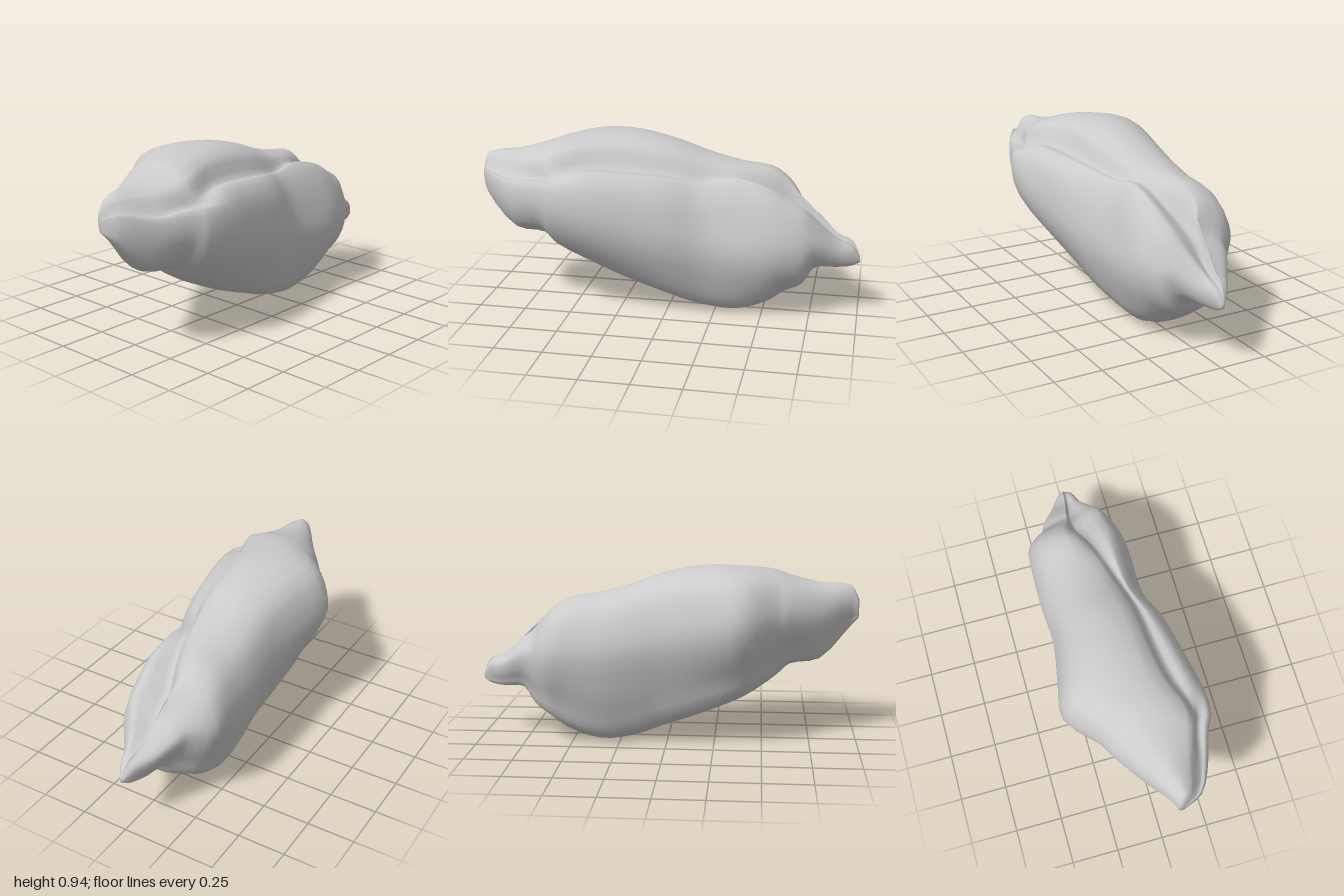
import * as THREE from 'three';

// Stations along the boulder: x, bottom y, top y, back z, front z, ledge y, groove z
const STATIONS = [
  [-1.0, 0.65, 0.75, 0.05, 0.09, 0.72, 0.075],
  [-0.96, 0.60, 0.82, 0.03, 0.18, 0.74, 0.13],
  [-0.8, 0.43, 0.84, -0.08, 0.27, 0.72, 0.18],
  [-0.64, 0.41, 0.88, -0.19, 0.325, 0.73, 0.23],
  [-0.57, 0.35, 0.905, -0.23, 0.36, 0.735, 0.25],
  [-0.4, 0.25, 0.93, -0.37, 0.362, 0.785, 0.2],
  [-0.2, 0.16, 0.935, -0.34, 0.335, 0.775, 0.17],
  [0.02, 0.08, 0.893, -0.31, 0.29, 0.755, 0.14],
  [0.18, 0.025, 0.835, -0.305, 0.245, 0.73, 0.11],
  [0.36, 0.008, 0.79, -0.31, 0.24, 0.755, 0.06],
  [0.52, 0.06, 0.765, -0.31, 0.235, 0.715, 0.01],
  [0.62, 0.13, 0.70, -0.295, 0.22, 0.66, -0.02],
  [0.71, 0.18, 0.63, -0.2, 0.19, 0.61, -0.025],
  [0.77, 0.27, 0.57, -0.17, 0.15, 0.55, -0.02],
  [0.88, 0.27, 0.46, -0.1, 0.07, 0.44, -0.01],
  [0.96, 0.28, 0.42, -0.05, 0.035, 0.39, -0.01],
  [1.0, 0.3, 0.335, -0.01, 0.01, 0.33, 0.0],
];
const AROUND = 42, STEPS = 3;
const { lerp, smoothstep } = THREE.MathUtils;

// One closed outline: underside, bulging front slab, ledge and groove, upper ridge, back
function ring([x, yb, yt, zb, zf, ledge, groove]) {
  const at = (u, h) => new THREE.Vector3(x, lerp(yb, yt, h), lerp(zb, zf, u));
  const w = zf - zb;
  const cut = 0.08 * smoothstep(x, 0.25, 0.65) * (1 - smoothstep(x, 0.75, 0.95));
  const blend = 0.5 * (1 - smoothstep(x, -0.64, -0.5)); // no ledge on the narrow end
  const drop = 0.1 * smoothstep(x, 0.6, 0.7); // rear shoulder falls away
  const outline = [
    at(0.38, 0), at(0.72, 0.02), at(0.9, 0.19), at(1, 0.46), at(0.96, 0.68),
    new THREE.Vector3(x, ledge, lerp(zb, zf, lerp(0.87, 0.79, smoothstep(x, -0.4, 0.4)))),
    new THREE.Vector3(x, lerp(ledge, yt, blend) - cut, groove),
    new THREE.Vector3(x, lerp(ledge, yt, 0.75) - cut * 0.3, groove - w * 0.08),
    at(0.38, 1 - drop), at(0.11, 0.9 - drop), at(0, 0.67), at(0.05, 0.41), at(0.16, 0.21), at(0.24, 0.06),
  ];
  const curve = new THREE.CatmullRomCurve3(outline, true, 'centripetal');
  return Array.from({ length: AROUND }, (_, j) => curve.getPoint(j / AROUND));
}

function boulderGeometry() {
  const rings = STATIONS.map(ring);
  const rows = (STATIONS.length - 1) * STEPS;
  const pos = [], index = [];
  const lines = rings[0].map((_, j) => new THREE.CatmullRomCurve3(rings.map(r => r[j]), false, 'centripetal'));
  for (let i = 0; i <= rows; i++) {
    for (let j = 0; j < AROUND; j++) {
      const p = lines[j].getPoint(i / rows);
      // shallow weathered dents on both faces, fading at the ends
      const fade = Math.max(0, 1 - p.x * p.x);
      p.z += 0.008 * fade * Math.sin(p.x * 8 + p.y * 11) * Math.cos(p.y * 9 - p.x * 5);
      pos.push(p.x, Math.max(0, p.y), p.z);
      if (i < rows) {
        const a = i * AROUND + j, b = i * AROUND + (j + 1) % AROUND;
        index.push(a, a + AROUND, b, b, a + AROUND, b + AROUND);
      }
    }
  }
  // close both tips
  for (const i of [0, rows]) {
    const c = pos.length / 3, s = STATIONS[i / STEPS];
    pos.push(s[0], (s[1] + s[2]) / 2, (s[3] + s[4]) / 2);
    for (let j = 0; j < AROUND; j++) {
      const a = i * AROUND + j, b = i * AROUND + (j + 1) % AROUND;
      if (i) index.push(c, b, a);
      else index.push(c, a, b);
    }
  }
  const g = new THREE.BufferGeometry();
  g.setAttribute('position', new THREE.Float32BufferAttribute(pos, 3));
  g.setIndex(index);
  g.computeVertexNormals();
  return g;
}

export function createModel() {
  const group = new THREE.Group();
  group.name = 'rock';
  const boulder = new THREE.Mesh(boulderGeometry(), new THREE.MeshStandardMaterial({ color: 0xcccccc, roughness: 0.9 }));
  boulder.name = 'boulder';
  group.add(boulder);
  return group;
}
